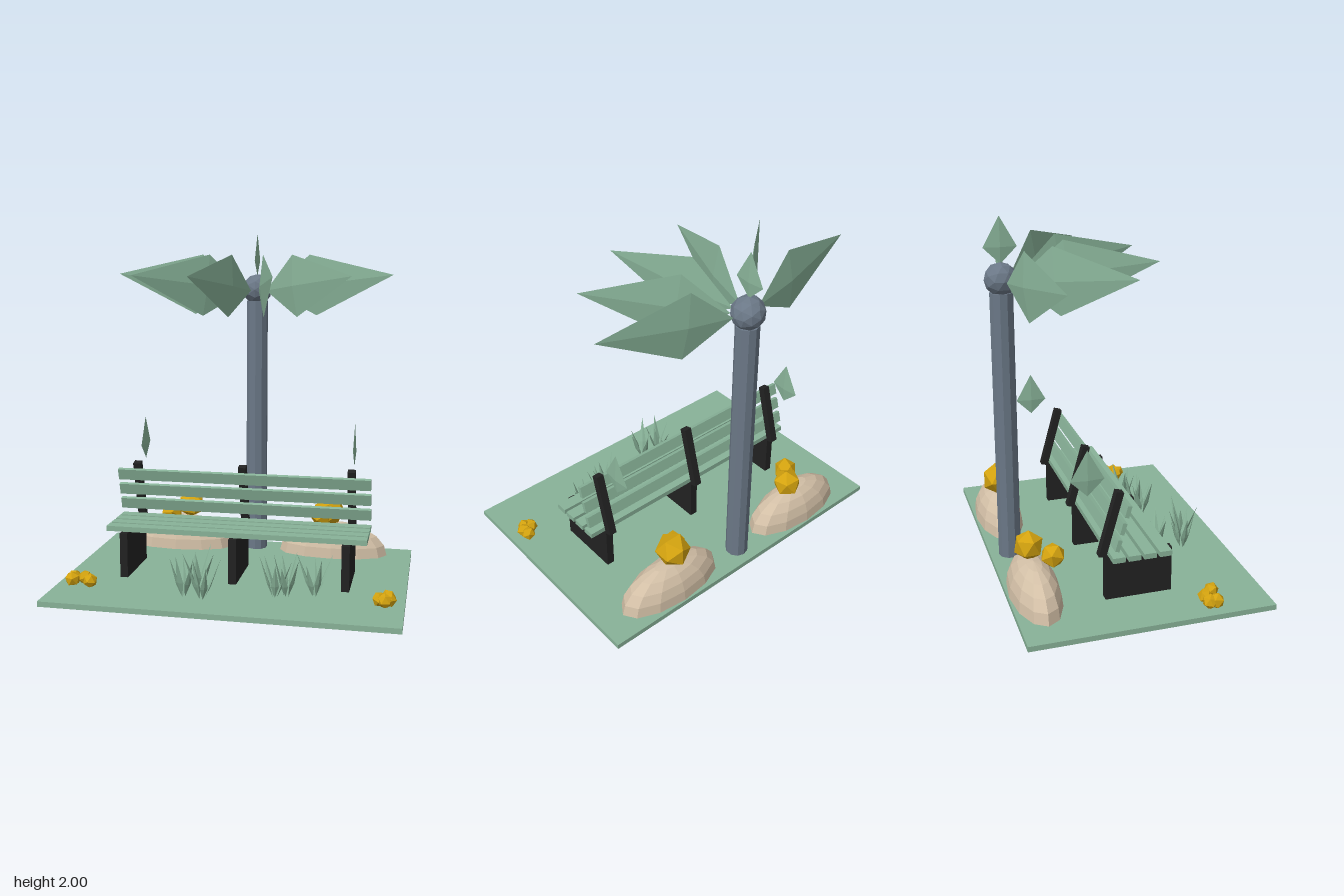
import * as THREE from 'three';

export function createModel() {
  const root = new THREE.Group();
  root.name = 'parkBench';
  const mat = (name, color) => new THREE.MeshStandardMaterial({ name, color, flatShading: true });
  const green = mat('sageGreen', 0x88b298);
  const black = mat('black', 0x222222);
  const steel = mat('slateGrey', 0x6b7887);
  const sand = mat('sand', 0xd2bfa6);
  const gold = mat('gold', 0xd4a30f);

  const add = (name, geo, material, x, y, z, parent = root) => {
    const m = new THREE.Mesh(geo, material);
    m.name = name;
    m.position.set(x, y, z);
    parent.add(m);
    return m;
  };
  const box = (w, h, d) => new THREE.BoxGeometry(w, h, d);

  // Flat kite-shaped leaf growing along +y from its base, widest at 35%
  const leafGeo = (hx, len, hz) => {
    const g = new THREE.OctahedronGeometry(1);
    const p = g.attributes.position;
    for (let i = 0; i < p.count; i++) {
      const y = p.getY(i);
      p.setY(i, y > 0.5 ? 1 : y < -0.5 ? 0 : 0.355);
    }
    g.scale(hx, len, hz);
    g.computeVertexNormals();
    return g;
  };

  // Ground slab
  add('ground', box(1.94, 0.03, 1.35), green, 0, 0.015, 0);

  // Tree: post, ball and fan of leaves
  const treeZ = -0.56;
  add('trunk', new THREE.CylinderGeometry(0.065, 0.065, 1.56, 10), steel, 0, 0.81, treeZ);
  add('trunkBall', new THREE.IcosahedronGeometry(0.092, 1), steel, 0, 1.66, treeZ);
  const frond = leafGeo(0.02, 0.765, 0.182);
  for (const deg of [-80, -48, -16, 16, 48, 80]) {
    const a = THREE.MathUtils.degToRad(deg);
    const m = add('frond', frond, green, 0.087 * Math.sin(a), 1.654, treeZ + 0.087 * Math.cos(a));
    m.rotation.set(THREE.MathUtils.degToRad(82.5), a, 0, 'YXZ');
  }
  const smallLeaf = leafGeo(0.01, 0.255, 0.092);
  add('topLeaf', smallLeaf, green, 0, 1.742, treeZ);
  for (const s of [-1, 1]) add('benchLeaf', smallLeaf, green, s * 0.637, 0.64, -0.27);

  // Bench: supports, seat slats, tilted back
  const bench = new THREE.Group();
  bench.name = 'bench';
  root.add(bench);
  for (const x of [-0.637, 0, 0.637]) add('benchSupport', box(0.045, 0.26, 0.372), black, x, 0.16, 0.008, bench);
  for (let i = 0; i < 4; i++) add('seatSlat', box(1.5, 0.03, 0.068), green, 0, 0.305, 0.127 - i * 0.086, bench);
  const back = new THREE.Group();
  back.name = 'backrest';
  back.position.set(0, 0.467, -0.147);
  back.rotation.x = 0.266;
  bench.add(back);
  for (const x of [-0.637, 0, 0.637]) add('backPost', box(0.045, 0.375, 0.042), black, x, 0, 0, back);
  for (let i = 0; i < 3; i++) add('backSlat', box(1.5, 0.066, 0.024), green, 0, 0.122 - i * 0.097, 0.033, back);

  // Sand mounds behind the bench
  const mound = new THREE.SphereGeometry(1, 12, 5, 0, Math.PI * 2, 0, Math.PI / 2);
  mound.scale(0.333, 0.2, 0.138);
  for (const s of [-1, 1]) add('mound', mound, sand, s * 0.49, 0.03, -0.53);

  // Gold rocks: x, y, z, radius
  const rocks = [
    [0.465, 0.3, -0.53, 0.1], [0.425, 0.28, -0.49, 0.08],
    [-0.42, 0.29, -0.54, 0.085], [-0.52, 0.265, -0.43, 0.07],
    [-0.885, 0.06, 0.33, 0.043], [-0.825, 0.06, 0.325, 0.042],
    [-0.885, 0.06, 0.365, 0.045], [-0.775, 0.062, 0.38, 0.042],
    [0.88, 0.06, 0.31, 0.042], [0.835, 0.06, 0.355, 0.042],
    [0.885, 0.06, 0.35, 0.043], [0.865, 0.06, 0.375, 0.042],
  ];
  rocks.forEach(([x, y, z, r], i) => {
    const m = add('rock', new THREE.IcosahedronGeometry(r, 0), gold, x, y, z);
    m.rotation.set(0.3 * i, 0.7 * i, 0);
  });

  // Grass tufts in front: leaning blades around each centre
  const blade = leafGeo(0.022, 0.25, 0.007);
  const tufts = [[-0.17, 0.28], [-0.22, 0.43], [-0.11, 0.46], [0.27, 0.345], [0.33, 0.32], [0.48, 0.29]];
  tufts.forEach(([x, z], t) => {
    const tuft = new THREE.Group();
    tuft.name = 'grassTuft';
    tuft.position.set(x, 0.028, z);
    root.add(tuft);
    for (let i = 0; i < 5; i++) {
      const a = i * Math.PI * 0.4 + t * 0.9;
      const m = add('grassBlade', blade, green, 0.012 * Math.sin(a), 0, 0.012 * Math.cos(a), tuft);
      m.rotation.set(0.24 + 0.07 * ((i * 2 + t) % 3), a, 0, 'YXZ');
      m.scale.y = 0.8 + 0.1 * ((i + t) % 3);
    }
  });

  return root;
}
